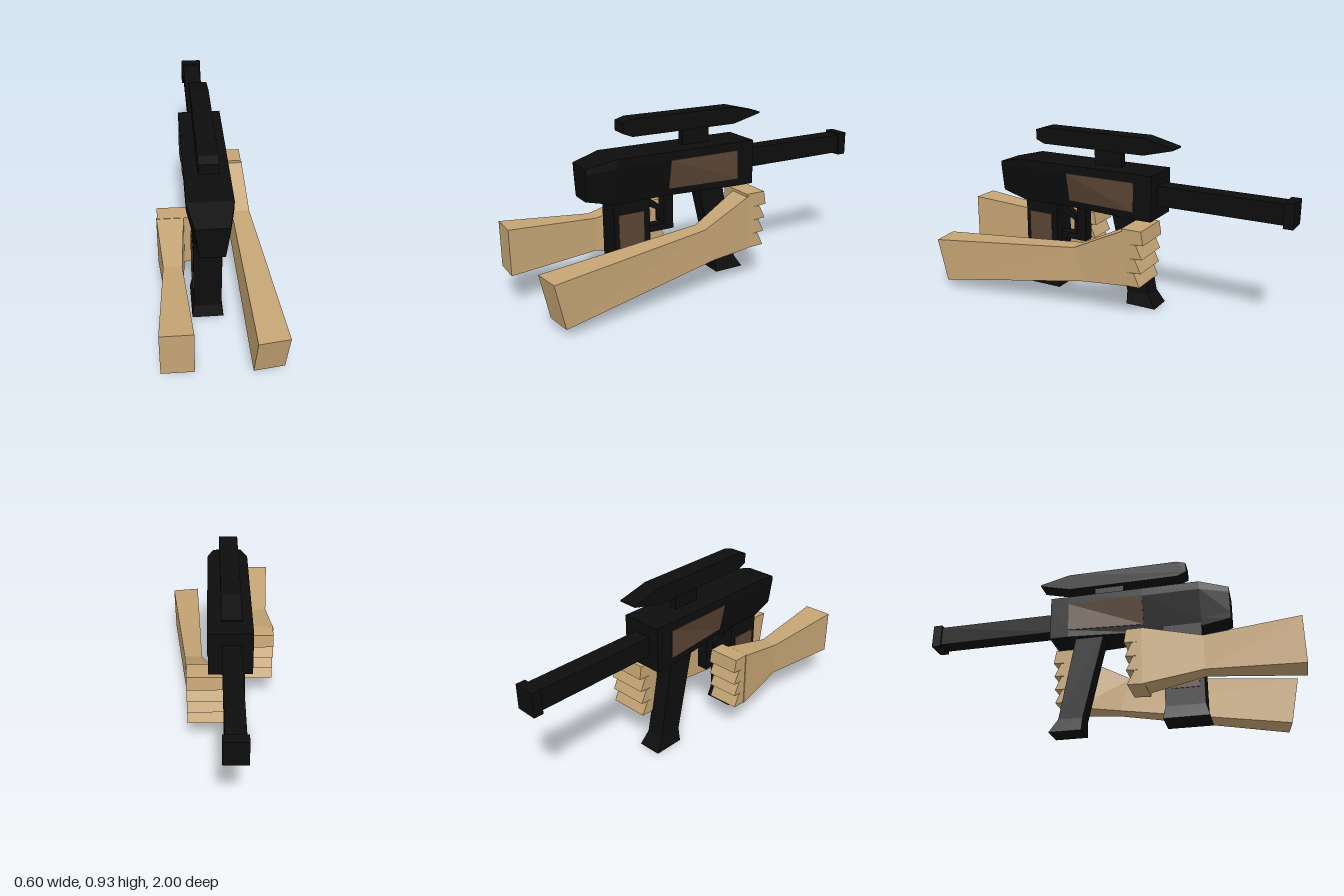
import * as THREE from 'three';

const mat = (name, color) => {
  const m = new THREE.MeshStandardMaterial({ color });
  m.name = name;
  return m;
};

// Flat-faced solid through matching rings of 3D points, capped at both ends
function loft(rings) {
  const n = rings[0].length, tris = [];
  for (let s = 0; s < rings.length - 1; s++) {
    const a = rings[s], b = rings[s + 1];
    for (let i = 0; i < n; i++) {
      const j = (i + 1) % n;
      tris.push([a[i], a[j], b[j]], [a[i], b[j], b[i]]);
    }
  }
  const first = rings[0], last = rings[rings.length - 1];
  for (let i = 1; i < n - 1; i++) {
    tris.push([first[0], first[i + 1], first[i]], [last[0], last[i], last[i + 1]]);
  }
  // Turn the faces outward whichever way the rings run
  let volume = 0;
  const v = [0, 1, 2].map(() => new THREE.Vector3());
  for (const t of tris) {
    t.forEach((p, k) => v[k].set(...p));
    volume += v[0].dot(v[1].clone().cross(v[2]));
  }
  if (volume < 0) tris.forEach((t) => t.reverse());
  const geo = new THREE.BufferGeometry();
  geo.setAttribute('position', new THREE.Float32BufferAttribute(tris.flat(2), 3));
  geo.computeVertexNormals();
  return geo;
}

// Rings for the three main directions
const prism = (zy, x0, x1) => loft([x0, x1].map((x) => zy.map(([z, y]) => [x, y, z])));
const rectY = (y, x0, x1, z0, z1) => [[x0, y, z0], [x1, y, z0], [x1, y, z1], [x0, y, z1]];
const rectZ = (z, x0, x1, y0, y1) => [[x0, y0, z], [x1, y0, z], [x1, y1, z], [x0, y1, z]];

export function createModel() {
  const group = new THREE.Group();
  const black = mat('black', 0x0d0d0d);
  const brown = mat('brown', 0x5a4434);
  const tan = mat('tan', 0xc4a474);
  const add = (name, geo, material, parent = group) => {
    const mesh = new THREE.Mesh(geo, material);
    mesh.name = name;
    parent.add(mesh);
  };
  const box = (name, material, x0, x1, y0, y1, z0, z1) =>
    add(name, loft([rectZ(z0, x0, x1, y0, y1), rectZ(z1, x0, x1, y0, y1)]), material);

  // Receiver: square at the muzzle end, pinched underneath toward the back
  const cx = -0.0375;
  const bodyRing = (z, ys, halfWidths) => {
    const side = ys.map((y, i) => [y, halfWidths[i]]);
    return [
      ...side.map(([y, h]) => [cx + h, y, z]),
      ...side.reverse().map(([y, h]) => [cx - h, y, z]),
    ];
  };
  const ys = [0.515, 0.555, 0.71, 0.755];
  const full = [0.1125, 0.1125, 0.1125, 0.1125];
  const pinched = [0.073, 0.081, 0.1125, 0.1125];
  add('receiver', loft([
    bodyRing(-0.29, ys, full),
    bodyRing(-0.19, ys, full),
    bodyRing(0.21, ys, pinched),
    bodyRing(0.51, ys, pinched),
    bodyRing(0.66, [0.55, 0.58, 0.69, 0.72], [0.06, 0.065, 0.08, 0.08]),
  ]), black);

  // Side panels follow the twist of the receiver
  for (const s of [1, -1]) {
    const ring = (z, low, high) => {
      const p = [[low, 0.555], [high, 0.71]];
      if (s < 0) p.reverse();
      const at = (d) => p.map(([h, y]) => [cx + s * (h + d), y, z]);
      return [...at(0.004), ...at(-0.004).reverse()];
    };
    add('sidePanel', loft([ring(-0.19, 0.1125, 0.1125), ring(0.21, 0.081, 0.1125)]), brown);
  }

  // Barrel and muzzle
  box('barrel', black, -0.09, 0.005, 0.585, 0.69, -0.96, -0.28);
  box('muzzle', black, -0.1, 0.015, 0.572, 0.7, -1, -0.95);

  // Sight on its mount
  box('sightMount', black, -0.06, -0.02, 0.75, 0.845, -0.07, 0.09);
  add('sight', prism([
    [0.44, 0.86], [0.44, 0.915], [0.39, 0.93], [-0.21, 0.93],
    [-0.375, 0.889], [-0.375, 0.881], [-0.21, 0.84], [0.39, 0.84],
  ], -0.088, 0.01), black);

  // Rear grip with brown inlays
  add('rearGrip', loft([
    rectY(0.53, -0.12, 0.02, 0.31, 0.51),
    rectY(0.09, -0.12, 0.02, 0.31, 0.51),
    rectY(0.025, -0.13, 0.03, 0.297, 0.528),
  ]), black);
  box('gripPanel', brown, 0.016, 0.024, 0.18, 0.45, 0.345, 0.485);
  box('gripPanel', brown, -0.124, -0.116, 0.18, 0.45, 0.345, 0.485);

  // Front grip, raked forward with a flared foot
  add('frontGrip', loft([
    rectY(0.53, -0.115, -0.025, -0.155, -0.005),
    rectY(0.07, -0.12, -0.02, -0.24, -0.112),
    rectY(0, -0.135, -0.005, -0.285, -0.115),
  ]), black);

  // Trigger and guard
  box('guardPost', black, -0.08, -0.02, 0.31, 0.52, 0.15, 0.205);
  box('guardBase', black, -0.08, -0.02, 0.31, 0.345, 0.15, 0.32);
  add('triggerArm', prism([[0.31, 0.515], [0.22, 0.445], [0.22, 0.415], [0.31, 0.46]], -0.07, -0.03), black);
  box('trigger', black, -0.06, -0.04, 0.36, 0.43, 0.22, 0.235);

  // Four wedge-shaped fingers stacked from the top of a hand downward
  const fingers = (parent, x0, x1, top, step, back, front) => {
    for (let i = 0; i < 4; i++) {
      const y = top - i * step, f = front + i * 0.005;
      add('finger', prism([
        [back, y + (i ? 0.003 : 0)], [f + (i ? 0.035 : 0.012), y], [f, y - step + 0.004], [back, y - step],
      ], x0, x1), tan, parent);
    }
  };

  // Right arm holds the rear grip
  const rightArm = new THREE.Group();
  rightArm.name = 'rightArm';
  add('forearmAndHand', loft([
    rectZ(1, -0.3, -0.145, 0.175, 0.418),
    rectZ(0.53, -0.267, -0.175, 0.205, 0.385),
    rectZ(0.23, -0.292, -0.152, 0.15, 0.45),
  ]), tan, rightArm);
  fingers(rightArm, -0.288, -0.115, 0.45, 0.075, 0.24, 0.14);

  // Left arm reaches forward to the front grip
  const leftArm = new THREE.Group();
  leftArm.name = 'leftArm';
  add('forearmAndHand', loft([
    [[0.137, 0.045, 0.91], [0.29, 0.045, 0.89], [0.298, 0.282, 0.94], [0.145, 0.282, 0.96]],
    [[0.105, 0.175, 0.03], [0.2, 0.175, 0.03], [0.205, 0.355, 0.09], [0.11, 0.355, 0.09]],
    [[0.043, 0.19, -0.19], [0.185, 0.19, -0.19], [0.19, 0.487, -0.19], [0.05, 0.487, -0.19]],
  ]), tan, leftArm);
  fingers(leftArm, -0.03, 0.186, 0.497, 0.076, -0.18, -0.303);

  group.add(rightArm, leftArm);
  return group;
}
